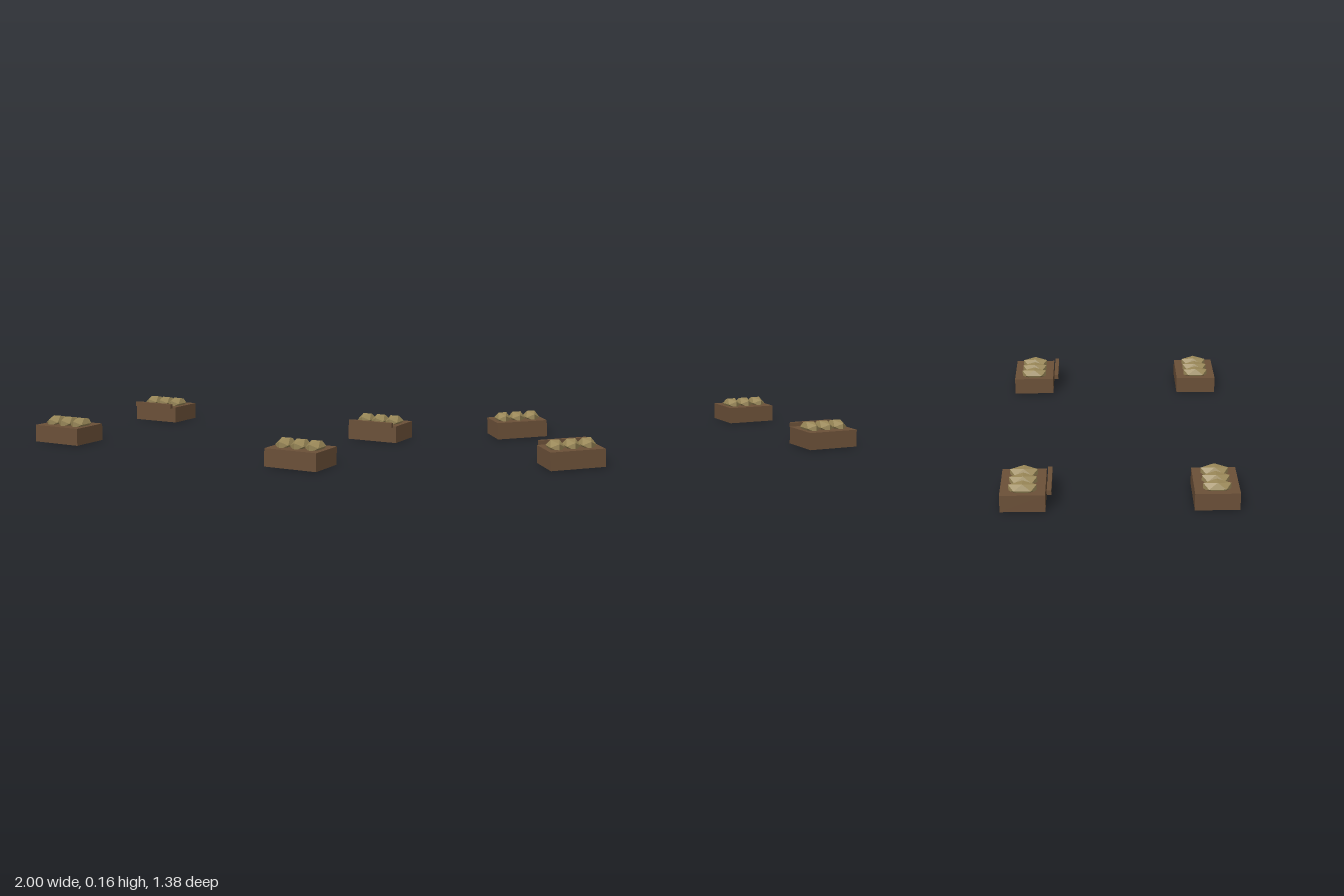
import * as THREE from 'three';

const wood = new THREE.MeshStandardMaterial({ color: 0x6b5038 });
wood.name = 'brown wood';
const burlap = new THREE.MeshStandardMaterial({ color: 0x9a8858 });
burlap.name = 'tan burlap';

// Faceted sack: a stretched, flattened icosahedron (flat-shaded by construction)
const sackGeometry = new THREE.IcosahedronGeometry(1, 0).scale(0.05, 0.043, 0.0957);
const baseGeometry = new THREE.BoxGeometry(0.33, 0.107, 0.263);
const railGeometry = new THREE.BoxGeometry(0.295, 0.03, 0.026);

function addPart(parent, name, geometry, material, x, y, z) {
  const mesh = new THREE.Mesh(geometry, material);
  mesh.name = name;
  mesh.position.set(x, y, z);
  parent.add(mesh);
}

// Earth block with a row of three sacks half sunk into its top
function createEmplacement(hasRail) {
  const group = new THREE.Group();
  addPart(group, 'base', baseGeometry, wood, 0, 0.0535, 0);
  for (const i of [-1, 0, 1]) {
    addPart(group, 'sack', sackGeometry, burlap, i * 0.096, 0.119, 0);
  }
  // Free rail just ahead of the base
  if (hasRail) addPart(group, 'rail', railGeometry, wood, 0, 0.115, 0.154);
  return group;
}

export function createModel() {
  const model = new THREE.Group();
  model.name = 'cornerEmplacements';
  for (const side of [-1, 1]) {
    for (const end of [-1, 1]) {
      const corner = createEmplacement(end < 0);
      corner.name = (end < 0 ? 'back' : 'front') + (side < 0 ? 'Right' : 'Left') + 'Emplacement';
      corner.position.set(side * 0.835, 0, end * 0.5605);
      model.add(corner);
    }
  }
  return model;
}
